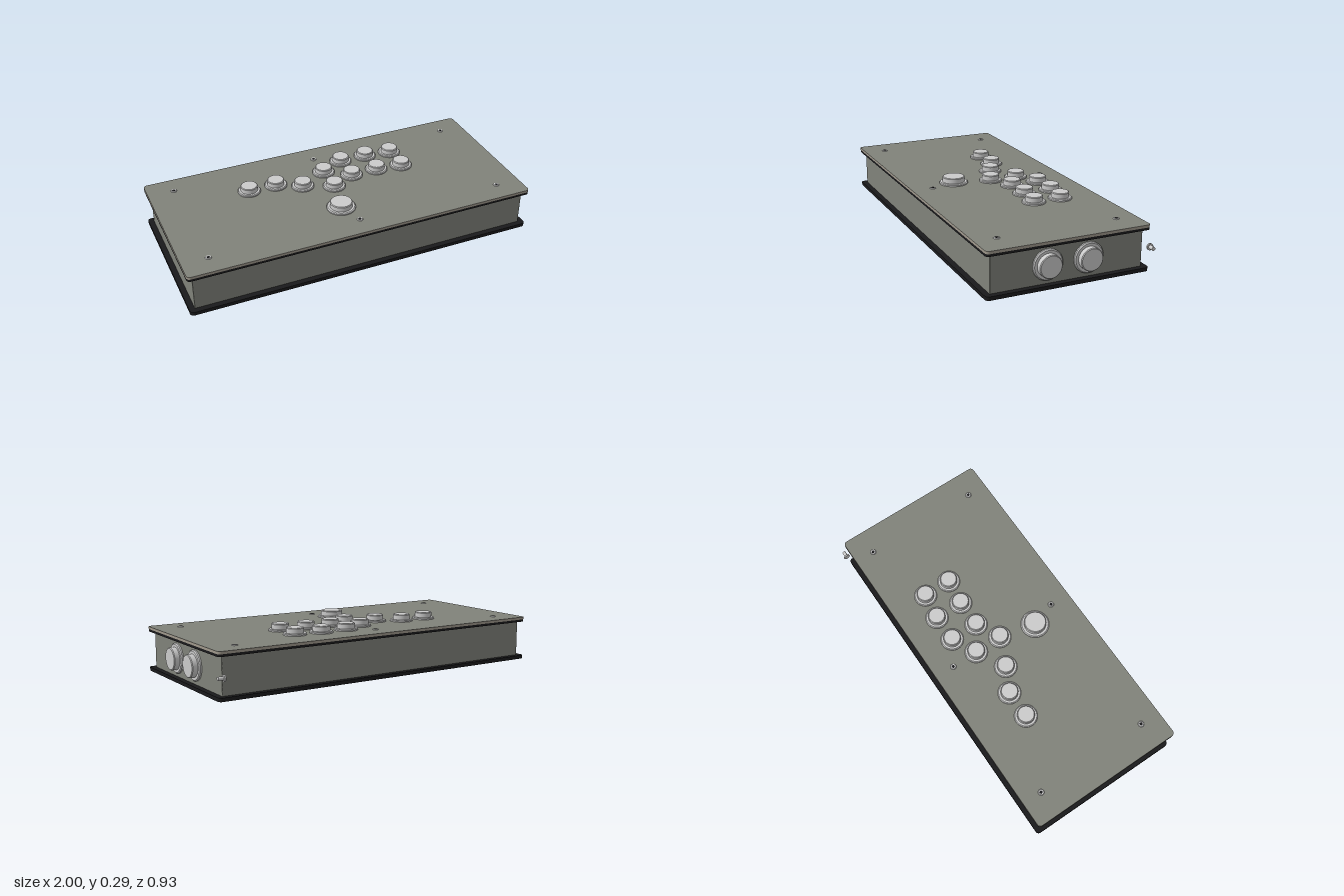
import * as THREE from 'three';

const mat = (name, color) => {
  const m = new THREE.MeshStandardMaterial({ color });
  m.name = name;
  return m;
};
const grey = mat('case grey', 0x80827a);
const edge = mat('plate edge tan', 0x9f988c);
const black = mat('black sheet', 0x1a1a1c);
const silver = mat('button silver', 0xcbcbcb);

function add(parent, name, geometry, material) {
  const mesh = new THREE.Mesh(geometry, material);
  mesh.name = name;
  parent.add(mesh);
  return mesh;
}

// Horizontal sheet with rounded corners, from y0 to y1
function sheet(x0, x1, z0, z1, y0, y1, r) {
  const s = new THREE.Shape();
  s.moveTo(x0 + r, -z1);
  s.lineTo(x1 - r, -z1);
  s.absarc(x1 - r, -z1 + r, r, -Math.PI / 2, 0);
  s.lineTo(x1, -z0 - r);
  s.absarc(x1 - r, -z0 - r, r, 0, Math.PI / 2);
  s.lineTo(x0 + r, -z0);
  s.absarc(x0 + r, -z0 - r, r, Math.PI / 2, Math.PI);
  s.lineTo(x0, -z1 + r);
  s.absarc(x0 + r, -z1 + r, r, Math.PI, Math.PI * 1.5);
  const g = new THREE.ExtrudeGeometry(s, { depth: y1 - y0, bevelEnabled: false, curveSegments: 6 });
  return g.rotateX(-Math.PI / 2).translate(0, y0, 0);
}

// Stack of round sections along +y: [bottomRadius, topRadius, y0, y1, name]
function stack(name, sections, material) {
  const group = new THREE.Group();
  group.name = name;
  for (const [rb, rt, y0, y1, part] of sections) {
    const g = new THREE.CylinderGeometry(rt, rb, y1 - y0, 40);
    add(group, part, g.translate(0, (y0 + y1) / 2, 0), material);
  }
  return group;
}

// Push button: bevelled rim and a plunger with a softened top edge
function pushButton(name, rimR, capR, rimH, height) {
  return stack(name, [
    [rimR, rimR, 0, rimH * 0.6, 'rim'],
    [rimR, rimR * 0.93, rimH * 0.6, rimH, 'rimBevel'],
    [capR, capR, rimH, height - 0.004, 'plunger'],
    [capR, capR - 0.004, height - 0.004, height, 'plungerTop'],
  ], silver);
}

export function createModel() {
  const model = new THREE.Group();
  model.name = 'buttonController';
  const top = 0.248;

  // Case layers
  add(model, 'bottomSheet', sheet(-1, 0.985, -0.432, 0.463, 0, 0.02, 0.02), black);
  add(model, 'caseBody', sheet(-0.97, 0.955, -0.403, 0.433, 0.02, 0.221, 0.004), grey);
  add(model, 'underSheet', sheet(-1, 0.985, -0.432, 0.463, 0.221, 0.234, 0.02), black);
  add(model, 'topPlate', sheet(-1, 0.985, -0.432, 0.463, 0.234, top, 0.02), [grey, edge]);

  // Small buttons on the top plate
  const spots = [
    [-0.465, -0.147], [-0.307, -0.147], [-0.17, -0.078],
    [-0.007, -0.165], [-0.007, -0.007],
    [0.13, -0.235], [0.13, -0.075],
    [0.287, -0.235], [0.287, -0.075],
    [0.437, -0.215], [0.437, -0.058],
  ];
  for (const [x, z] of spots) {
    const b = pushButton('topButton', 0.064, 0.048, 0.011, 0.04);
    b.position.set(x, top, z);
    model.add(b);
  }

  // Large thumb button
  const thumb = pushButton('thumbButton', 0.08, 0.062, 0.011, 0.04);
  thumb.position.set(-0.055, top, 0.2);
  model.add(thumb);

  // Two buttons on the side wall
  for (const z of [0.129, -0.095]) {
    const b = pushButton('sideButton', 0.081, 0.061, 0.013, 0.044);
    b.rotation.z = -Math.PI / 2;
    b.position.set(0.955, 0.12, z);
    model.add(b);
  }

  // Plate screws with dark hex sockets
  for (const x of [-0.853, -0.007, 0.84]) {
    for (const z of [-0.318, 0.344]) {
      const screw = stack('plateScrew', [[0.017, 0.014, 0, 0.004, 'head']], silver);
      const socket = new THREE.CylinderGeometry(0.009, 0.009, 0.001, 6);
      add(screw, 'socket', socket.translate(0, 0.0042, 0), black);
      screw.position.set(x, top, z);
      model.add(screw);
    }
  }

  // Small loose stud beside the back corner
  const stud = stack('backStud', [
    [0.018, 0.018, 0, 0.008, 'flange'],
    [0.01, 0.01, 0.008, 0.038, 'pin'],
  ], silver);
  stud.rotation.z = -Math.PI / 2;
  stud.position.set(0.96, 0.12, -0.445);
  model.add(stud);

  return model;
}
